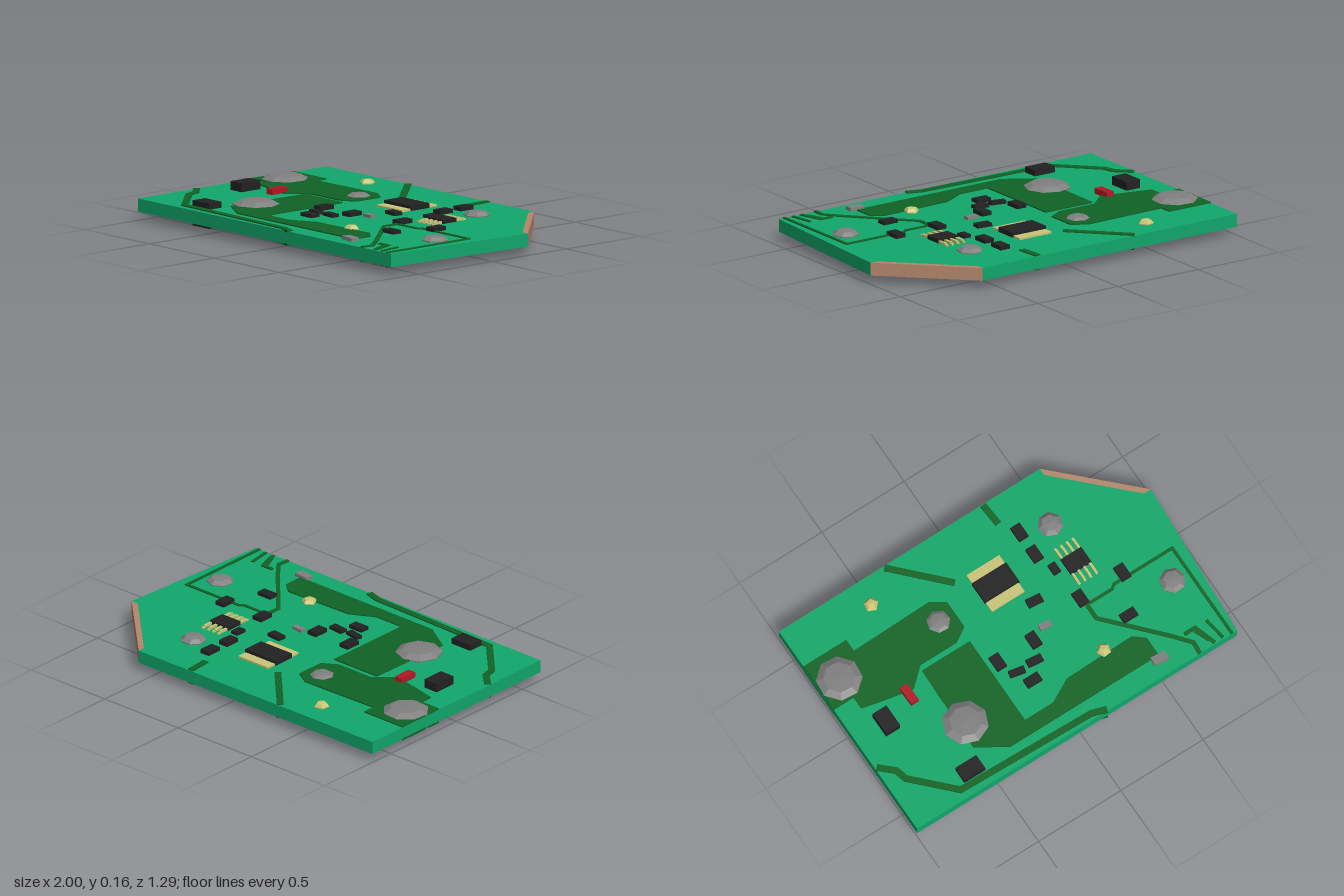
import * as THREE from 'three';

const MID = 0.08;      // height of the board's middle plane
const HALF = 0.034;    // half the board thickness
const paint = (color) => new THREE.MeshStandardMaterial({ color, flatShading: true });
const mats = {
  board: paint(0x10a86b), trace: paint(0x0f6426), copper: paint(0xb5876b), black: paint(0x222222),
  grey: paint(0x808080), gold: paint(0xcac678), red: paint(0xb01824),
};

function add(group, name, geometry, mat, x = 0, y = 0, z = 0, turn = 0) {
  const mesh = new THREE.Mesh(geometry, mats[mat]);
  mesh.name = name;
  mesh.position.set(x, y, z);
  mesh.rotation.y = turn;
  group.add(mesh);
}

// Slab from a plan outline of [x, z] points, between two heights
function slab(points, low, high) {
  const shape = new THREE.Shape(points.map(([x, z]) => new THREE.Vector2(x, -z)));
  return new THREE.ExtrudeGeometry(shape, { depth: high - low, bevelEnabled: false })
    .rotateX(-Math.PI / 2).translate(0, low, 0);
}

// Mitred outline of a track following a path
function track(path, width) {
  const pts = path.map(([x, z]) => new THREE.Vector2(x, z));
  const left = [], right = [];
  pts.forEach((p, i) => {
    const a = p.clone().sub(pts[Math.max(i - 1, 0)]).normalize();
    const b = pts[Math.min(i + 1, pts.length - 1)].clone().sub(p).normalize();
    const t = a.clone().add(b).normalize();
    const n = new THREE.Vector2(-t.y, t.x);
    const ref = i ? a : b;
    const k = width / 2 / Math.max(0.5, Math.abs(t.dot(ref)));
    left.push([p.x + n.x * k, p.y + n.y * k]);
    right.unshift([p.x - n.x * k, p.y - n.y * k]);
  });
  return [...left, ...right];
}

// Box whose upper face is slightly smaller
function chip(w, d, h) {
  const g = new THREE.BoxGeometry(w, h, d).translate(0, h / 2, 0);
  const p = g.attributes.position;
  for (let i = 0; i < p.count; i++) {
    if (p.getY(i) > 0) p.setXYZ(i, p.getX(i) * 0.94, p.getY(i), p.getZ(i) * 0.94);
  }
  return g;
}

// Faceted, bevelled can with a slightly domed top
function can(r, h, sides) {
  const profile = [[r * 0.95, 0], [r, HALF + 0.005], [r * 0.68, h - 0.004], [0, h]];
  return new THREE.LatheGeometry(profile.map(([x, y]) => new THREE.Vector2(x, y)), sides);
}

function makeFace() {
  const face = new THREE.Group();

  // Broad copper-pour areas
  const areas = [
    [[-1, -0.41], [-0.74, -0.41], [-0.74, -0.34], [-0.28, -0.35], [-0.2, -0.3], [-0.2, -0.14], [-0.28, -0.09],
      [-0.5, -0.09], [-0.6, 0], [-0.75, -0.03], [-0.88, -0.06], [-0.88, -0.13], [-1, -0.13]],
    [[-0.51, -0.06], [-0.22, -0.06], [-0.22, 0.45], [-0.05, 0.45], [0.08, 0.38], [0.48, 0.37], [0.54, 0.42],
      [0.54, 0.53], [-0.36, 0.53], [-0.52, 0.43]],
  ];
  areas.forEach((a) => add(face, 'tracePlane', slab(a, HALF - 0.005, HALF + 0.006), 'trace'));

  // Narrow tracks
  const tracks = [
    [0.035, [[-0.99, 0.25], [-0.915, 0.32], [-0.9, 0.38], [-0.7, 0.585], [0.08, 0.605], [0.16, 0.63]]],
    [0.035, [[-0.365, -0.63], [-0.11, -0.365]]],
    [0.035, [[0.24, -0.637], [0.25, -0.51]]],
    [0.016, [[0.38, 0.102], [0.54, 0.102], [0.56, 0.085], [0.915, 0.085], [0.915, 0.637]]],
    [0.022, [[0.385, 0.1], [0.385, 0.19], [0.65, 0.48], [0.725, 0.57], [0.72, 0.637]]],
    [0.02, [[0.71, 0.508], [0.775, 0.508], [0.815, 0.63]]],
    [0.02, [[0.765, 0.52], [0.8, 0.6]]],
    [0.016, [[0.845, 0.505], [0.865, 0.63]]],
  ];
  tracks.forEach(([w, path]) => add(face, 'track', slab(track(path, w), HALF - 0.005, HALF + 0.006), 'trace'));

  // Large chip on its contact pads
  add(face, 'contactPads', chip(0.212, 0.25, HALF + 0.01), 'gold', 0.06, 0, -0.247);
  add(face, 'mainChip', chip(0.222, 0.13, 0.06), 'black', 0.06, 0, -0.247);

  // Small chip with four pins on each side, bent down to the board
  add(face, 'pinChip', chip(0.132, 0.1, 0.055), 'black', 0.467, 0, -0.123);
  for (let i = 0; i < 4; i++) {
    for (const s of [-1, 1]) {
      const x = 0.415 + i * 0.035, z = -0.123 + s * 0.07;
      add(face, 'pin', new THREE.BoxGeometry(0.013, 0.012, 0.06), 'gold', x, HALF + 0.008, z);
      add(face, 'pinFoot', new THREE.BoxGeometry(0.013, 0.012, 0.02), 'gold', x, HALF + 0.002, z + s * 0.035);
    }
  }

  // Small rectangular parts: x, z, width, depth, height, turn
  const blocks = [
    [0.312, -0.41, 0.06, 0.09, 0.055], [0.312, -0.27, 0.06, 0.09, 0.055], [0.353, -0.15, 0.045, 0.065, 0.05],
    [0.173, -0.06, 0.088, 0.05, 0.052, -0.1], [0.375, 0.057, 0.06, 0.09, 0.055], [0.63, 0.057, 0.06, 0.09, 0.055],
    [-0.165, 0.115, 0.06, 0.09, 0.055], [0.052, 0.115, 0.06, 0.09, 0.055], [-0.112, 0.212, 0.09, 0.04, 0.05, -0.2],
    [-0.004, 0.21, 0.09, 0.045, 0.05, -0.1], [-0.07, 0.293, 0.09, 0.055, 0.052], [0.53, 0.267, 0.09, 0.055, 0.052],
    [-0.815, 0.073, 0.09, 0.135, 0.08], [-0.6, 0.522, 0.135, 0.09, 0.065],
  ];
  blocks.forEach(([x, z, w, d, h, turn]) => add(face, 'blockPart', chip(w, d, h), 'black', x, 0, z, turn));
  add(face, 'greyPart', chip(0.068, 0.035, 0.05), 'grey', 0.145, 0, 0.08, -0.1);
  add(face, 'greyPart', chip(0.088, 0.05, 0.052), 'grey', 0.533, 0, 0.55, -0.1);
  add(face, 'redPart', chip(0.048, 0.11, 0.063), 'red', -0.638, 0, 0.015, 0.03);

  // Faceted cans and gold studs: x, z, radius, height, sides
  const cans = [
    [-0.885, -0.255, 0.122, 0.063, 8], [-0.48, 0.295, 0.122, 0.063, 8], [-0.295, -0.235, 0.064, 0.055, 7],
    [0.468, -0.362, 0.068, 0.06, 7], [0.82, 0.232, 0.07, 0.06, 7],
  ];
  cans.forEach(([x, z, r, h, n], i) => add(face, 'can', can(r, h, n), 'grey', x, 0, z, i * 0.5 + 0.3));
  for (const [x, z, turn] of [[-0.53, -0.5, 0.2], [0.322, 0.355, 0.7]]) {
    add(face, 'stud', can(0.04, 0.058, 5), 'gold', x, 0, z, turn);
  }
  return face;
}

export function createModel() {
  const model = new THREE.Group();
  model.name = 'circuitBoard';
  model.position.y = MID;

  // Board with one cut corner, edged in copper
  add(model, 'board', slab([[-1, -0.637], [0.59, -0.643], [0.59, -0.603], [0.958, -0.24], [1, -0.24],
    [0.945, 0.638], [-1, 0.638]], -HALF, HALF), 'board');
  add(model, 'copperEdge', slab([[0.59, -0.643], [1, -0.24], [0.958, -0.24], [0.59, -0.603]], -HALF, HALF), 'copper');

  // The same parts on both faces
  for (const s of [1, -1]) {
    const face = makeFace();
    face.name = s > 0 ? 'upperFace' : 'lowerFace';
    face.scale.y = s;
    model.add(face);
  }
  const root = new THREE.Group();
  root.add(model);
  return root;
}
